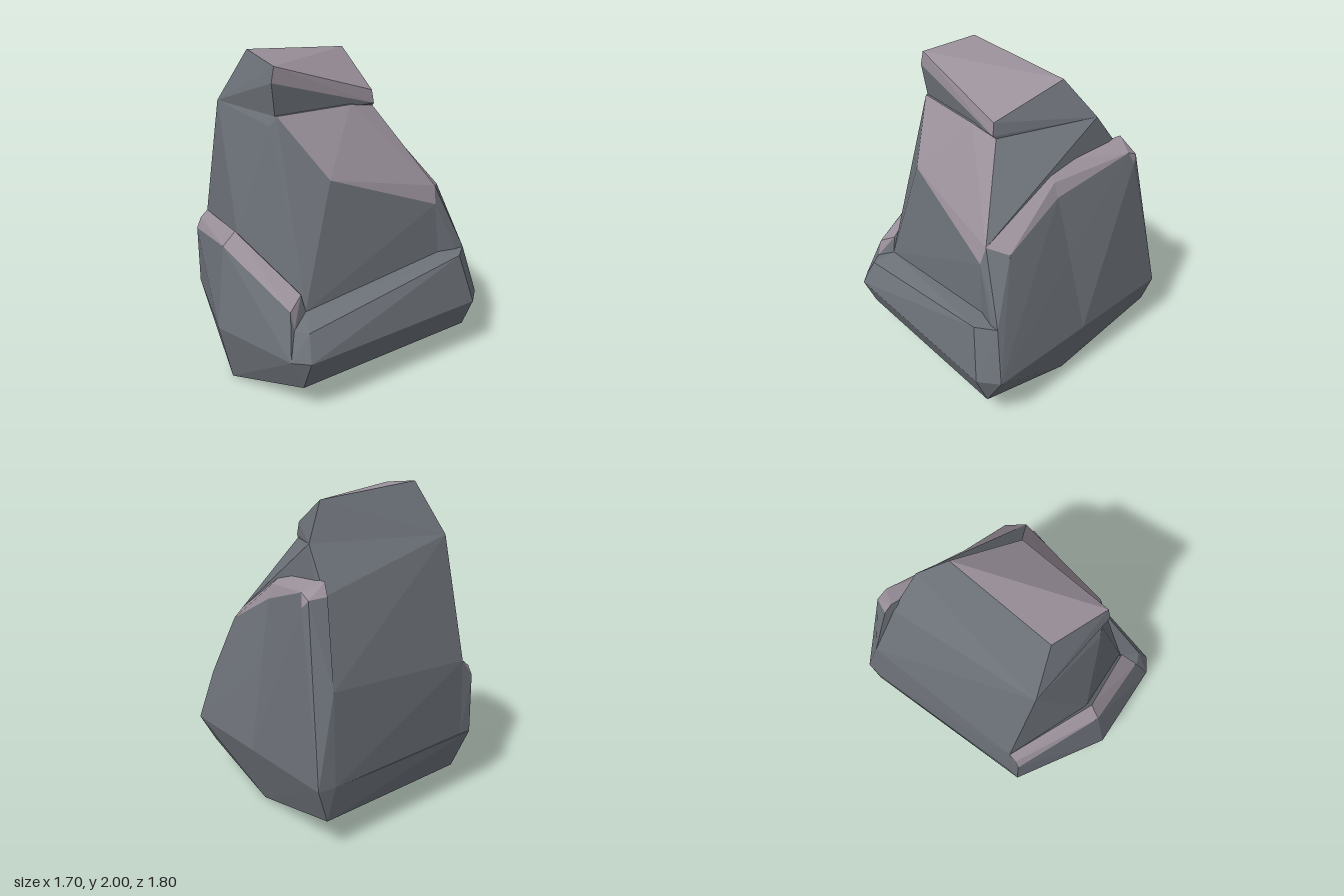
import * as THREE from 'three';
import { ConvexGeometry } from 'three/addons/geometries/ConvexGeometry.js';

const stone = new THREE.MeshStandardMaterial({ color: 0x6c7178 });
stone.name = 'grey stone';
const worn = new THREE.MeshStandardMaterial({ color: 0x9a909a });
worn.name = 'worn pale edge';

// Convex chunk of rock: facets lying wholly between rim points get the pale colour.
function chunk(name, body, rim = []) {
  const vec = (p) => new THREE.Vector3(...p);
  const rims = rim.map(vec);
  const hull = new ConvexGeometry([...body.map(vec), ...rims]);
  const pos = hull.attributes.position;
  const sides = { [`${name}Stone`]: [[], stone], [`${name}Edge`]: [[], worn] };
  for (let i = 0; i < pos.count; i += 3) {
    const tri = [0, 1, 2].map((k) => new THREE.Vector3().fromBufferAttribute(pos, i + k));
    const pale = tri.every((v) => rims.some((r) => r.distanceTo(v) < 1e-4));
    const list = sides[name + (pale ? 'Edge' : 'Stone')][0];
    tri.forEach((v) => list.push(v.x, v.y, v.z));
  }
  const group = new THREE.Group();
  group.name = name;
  for (const [part, [list, material]] of Object.entries(sides)) {
    if (!list.length) continue;
    const geo = new THREE.BufferGeometry();
    geo.setAttribute('position', new THREE.Float32BufferAttribute(list, 3));
    geo.computeVertexNormals();
    const mesh = new THREE.Mesh(geo, material);
    mesh.name = part;
    group.add(mesh);
  }
  return group;
}

export function createModel() {
  const rock = new THREE.Group();
  rock.name = 'rock';

  // corners shared between chunks
  const backA = [0.31, 0.38, -0.87], backB = [0.42, 0.38, -0.9];
  const backLeftA = [-0.72, 0.38, -0.37], backLeftB = [-0.8, 0.38, -0.34];
  const leftCorner = [-0.85, 0.38, 0.31], frontLeft = [-0.57, 0.38, 0.84];
  const frontRight = [0.85, 0.38, 0.5], shoulder = [0.75, 0.71, 0.47];
  const foot = [-0.42, 0.595, 0.68], kneeRight = [0.56, 0.71, 0.48];
  const neckLeft = [-0.66, 1.67, -0.17], neckRight = [0.32, 1.69, -0.42];
  const neckFront = [0.21, 1.64, 0.2];

  // base with the front ledge
  rock.add(chunk('base', [
    [-0.77, 0, 0.29], [0.54, 0, -0.11],
    [-0.49, 0.18, 0.82], [0.74, 0.18, 0.54], [0.36, 0.18, -0.87], [-0.67, 0.16, -0.35],
    backA, backB, backLeftA, backLeftB, leftCorner, frontLeft, frontRight,
    [-0.47, 0.38, 0.9], [0.76, 0.38, 0.62],
    [-0.52, 0.535, 0.76], [-0.45, 0.535, 0.82], [0.66, 0.71, 0.58], shoulder, foot, kneeRight,
  ]));

  // main body with the sloping front slab
  rock.add(chunk('body', [
    backA, backLeftA, foot, kneeRight, neckLeft, neckRight,
    [-0.72, 0.88, -0.36], [-0.68, 0.93, 0.22], [0.3, 0.92, -0.81], [0.29, 1.42, -0.62],
  ], [
    neckFront, [0.03, 1.68, 0.27],
    [-0.46, 1.685, 0.36], [-0.21, 1.33, 0.545], [0.54, 1.15, 0.435],
    [-0.495, 1.625, 0.34], [-0.23, 1.23, 0.55], [0.53, 1.04, 0.47],
  ]));

  // peak
  rock.add(chunk('peak', [
    neckLeft, neckRight, neckFront, [-0.465, 1.67, 0.345], [0.03, 1.66, 0.25],
  ], [
    [-0.51, 2, -0.01], [0.2, 1.92, -0.25], [0.2, 1.74, 0.21], [-0.47, 1.97, 0.36],
    [-0.54, 1.91, -0.02], [0.225, 1.84, -0.275], [0.21, 1.66, 0.22], [-0.49, 1.88, 0.37],
  ]));

  // tall side slab in two halves, bent at the middle
  const bendRim = [[0.35, 1.49, -0.04], [0.45, 1.4, -0.06], [0.48, 1.31, -0.07]];
  const bendBody = [[0.55, 0.9, -0.13], [0.635, 0.38, -0.2], [0.2, 0.9, -0.1]];
  rock.add(chunk('tallSlabBack', [
    ...bendBody, backA, backB, [0.3, 0.92, -0.81], [0.39, 0.9, -0.79],
  ], [
    ...bendRim, [0.29, 1.505, -0.62], [0.42, 1.45, -0.6],
    [0.43, 1.37, -0.64], [0.29, 1.43, -0.67], [0.4, 1.415, -0.67],
  ]));
  rock.add(chunk('tallSlabFront', [
    ...bendBody, frontRight, shoulder, kneeRight,
  ], [
    ...bendRim, [0.54, 1.15, 0.435], [0.62, 1.11, 0.32], [0.635, 1, 0.345], [0.53, 1.04, 0.47],
  ]));

  // low side slab
  rock.add(chunk('lowSlab', [
    backLeftA, backLeftB, leftCorner, frontLeft, foot, [-0.3, 0.5, 0],
  ], [
    [-0.72, 0.88, -0.36], [-0.77, 0.84, -0.345], [-0.8, 0.77, -0.34],
    [-0.7, 0.97, 0.24], [-0.78, 0.89, 0.25], [-0.79, 0.8, 0.26],
    [-0.44, 0.7, 0.66], [-0.53, 0.64, 0.73], [-0.52, 0.535, 0.76], foot,
  ]));

  return rock;
}
